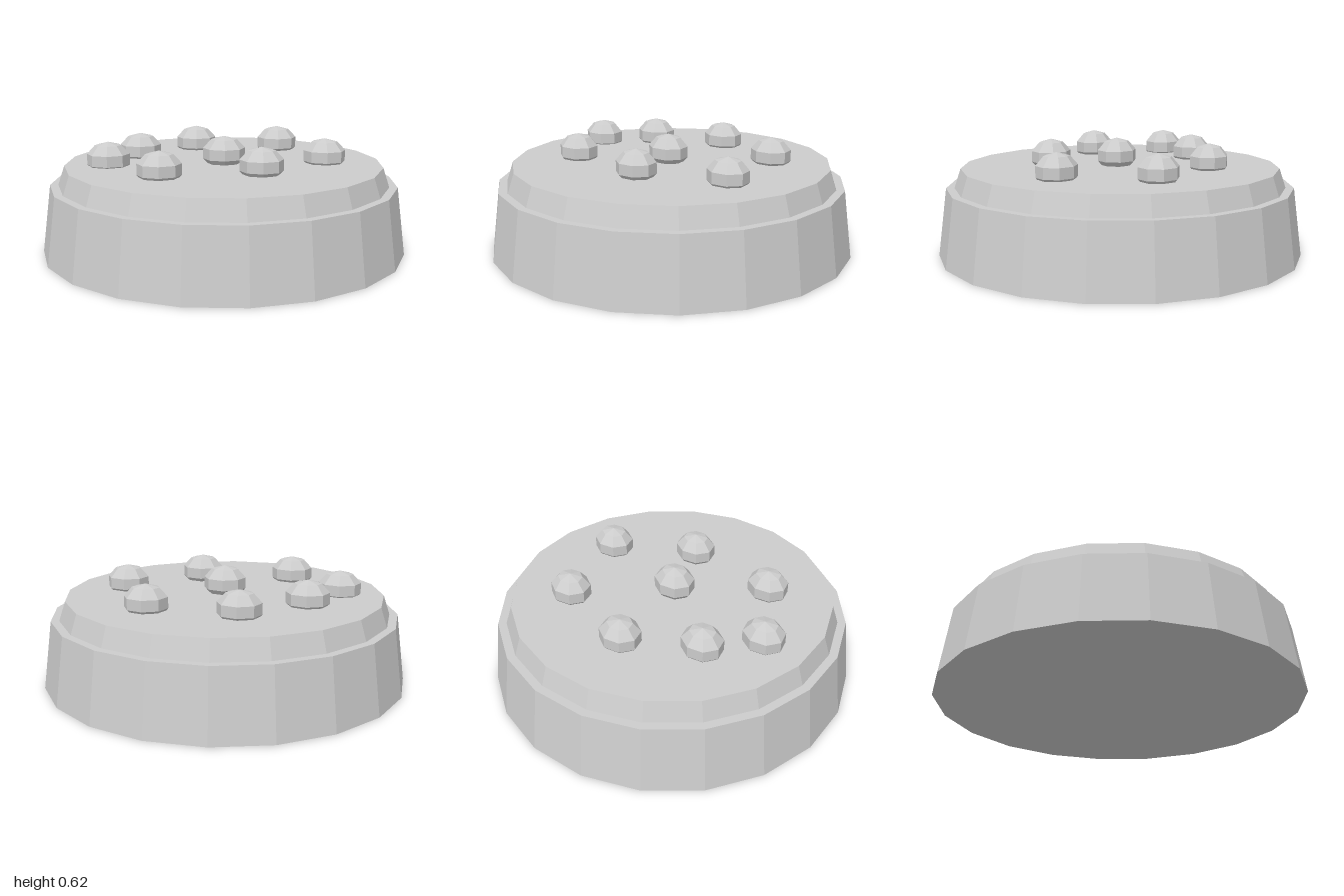
import * as THREE from 'three';

export function createModel() {
  const model = new THREE.Group();
  const material = new THREE.MeshStandardMaterial({ color: 0xcccccc, flatShading: true });
  material.name = 'lightGrey';
  const add = (name, geometry) => {
    const mesh = new THREE.Mesh(geometry, material);
    mesh.name = name;
    model.add(mesh);
    return mesh;
  };

  // Stepped 20-sided body: tapered base, flat ledge, bevelled top
  const profile = [[0, 0], [1, 0], [0.95, 0.37], [0.905, 0.37], [0.87, 0.475], [0, 0.475]];
  add('steppedBase', new THREE.LatheGeometry(profile.map(([r, y]) => new THREE.Vector2(r, y)), 20));

  // Faceted studs sunk into the top: x, z, height of crown
  const studs = [
    [-0.11, -0.48, 0.61], [0.37, -0.40, 0.612], [-0.45, -0.24, 0.61], [-0.63, 0.02, 0.605],
    [0, 0.02, 0.625], [0.55, 0.075, 0.61], [-0.37, 0.365, 0.612], [0.155, 0.35, 0.618],
  ];
  const studGeometry = new THREE.SphereGeometry(1, 8, 5);
  studs.forEach(([x, z, crown], i) => {
    const stud = add('stud' + (i + 1), studGeometry);
    stud.scale.set(0.121, 0.095, 0.108);
    stud.rotation.y = -0.07;
    stud.position.set(x, crown - 0.095, z);
  });
  return model;
}
